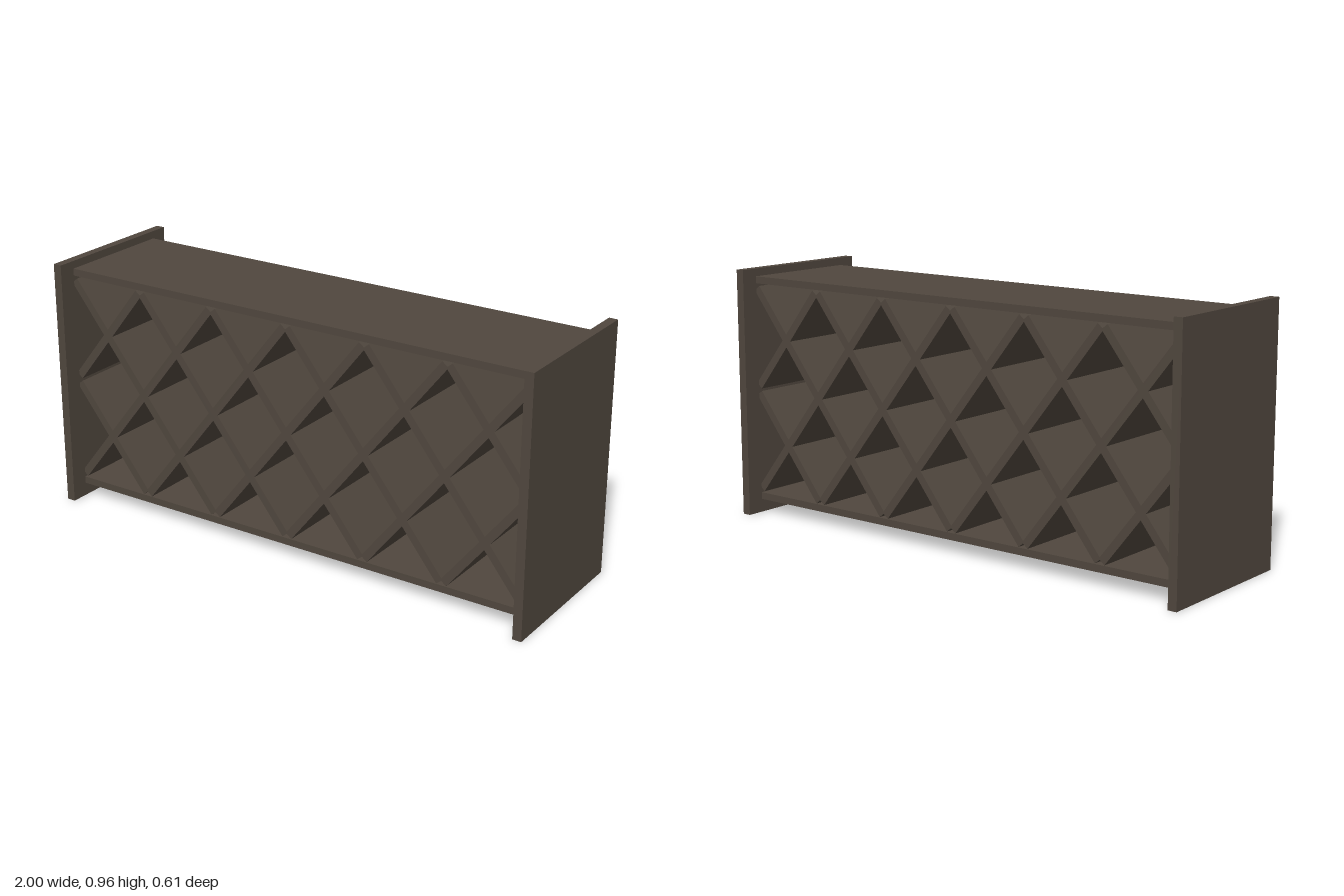
import * as THREE from 'three';

export function createModel() {
  const group = new THREE.Group();
  group.name = 'latticeRack';
  const wood = new THREE.MeshStandardMaterial({ color: 0x50473e });

  const board = (name, w, h, d, x, y, tilt = 0) => {
    const mesh = new THREE.Mesh(new THREE.BoxGeometry(w, h, d), wood);
    mesh.name = name;
    mesh.position.set(x, y, 0);
    mesh.rotation.z = tilt;
    group.add(mesh);
  };

  // End panels
  board('leftPanel', 0.034, 0.96, 0.606, 0.983, 0.48);
  board('rightPanel', 0.034, 0.96, 0.606, -0.983, 0.48);

  // Top and bottom shelves
  board('topShelf', 1.932, 0.027, 0.47, 0, 0.917);
  board('bottomShelf', 1.932, 0.027, 0.47, 0, 0.065);

  // Diagonal dividers crossing in both directions; the outermost are half length
  const pitch = 0.3245, midY = 0.49, reach = 0.4, slope = 1.262, thickness = 0.031;
  for (const dir of [1, -1]) {
    for (let k = -3; k <= 3; k++) {
      const c = k * pitch;
      const x0 = Math.max(c - reach / slope, -0.962);
      const x1 = Math.min(c + reach / slope, 0.962);
      const dx = x1 - x0, dy = dir * slope * dx;
      const midX = (x0 + x1) / 2;
      board('divider', Math.hypot(dx, dy), thickness, 0.47,
        midX, midY + dir * slope * (midX - c), Math.atan2(dy, dx));
    }
  }
  return group;
}
